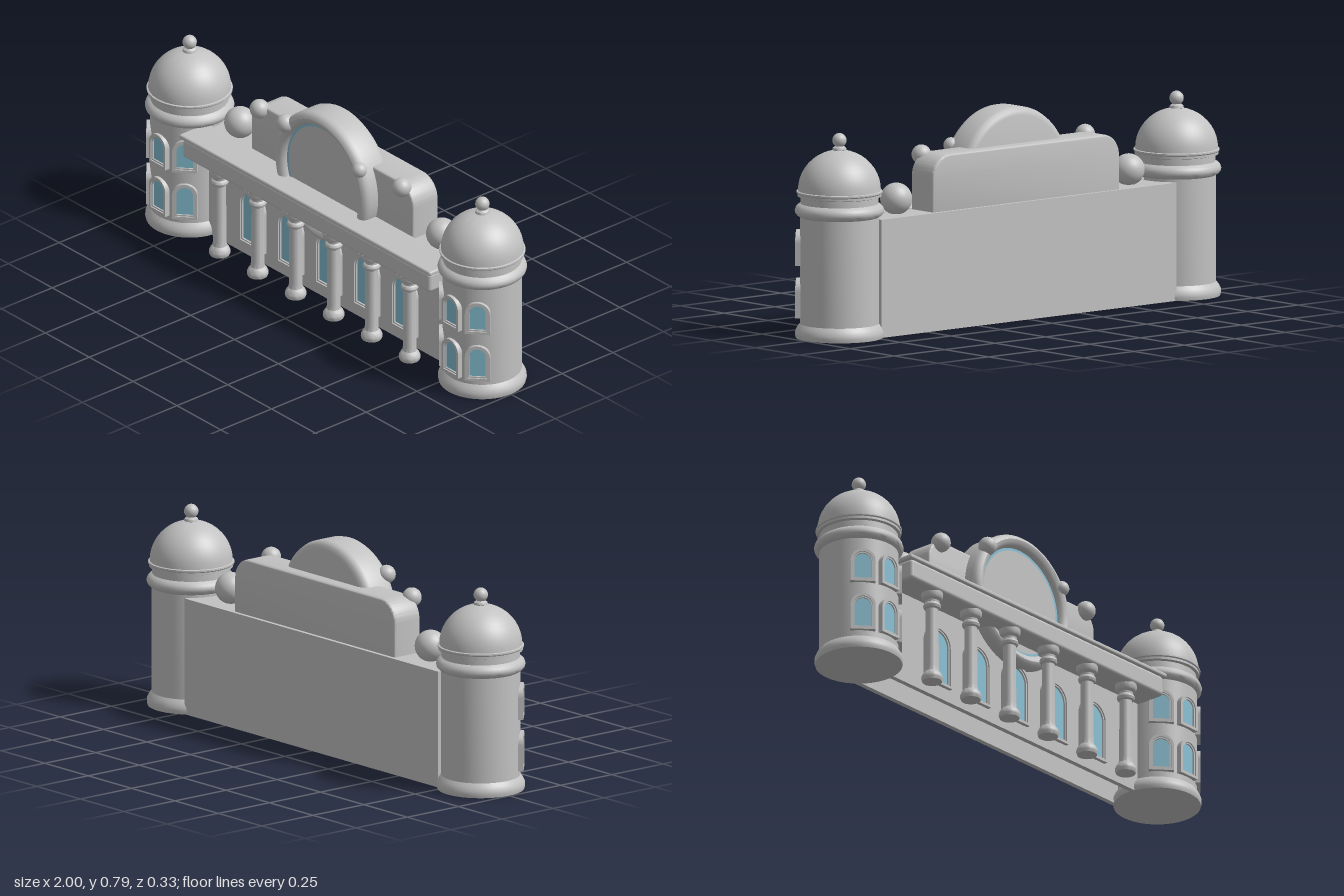
import * as THREE from 'three';
import { toCreasedNormals } from 'three/addons/utils/BufferGeometryUtils.js';
import { RoundedBoxGeometry } from 'three/addons/geometries/RoundedBoxGeometry.js';

export function createModel() {
  const model = new THREE.Group();
  model.name = 'palaceFacade';

  const stone = new THREE.MeshStandardMaterial({ color: 0xc2c2c2 });
  stone.name = 'stone';
  const glass = new THREE.MeshStandardMaterial({ color: 0x86bfd3, side: THREE.DoubleSide });
  glass.name = 'blueGlass';

  function add(parent, name, geometry, material, x = 0, y = 0, z = 0) {
    const mesh = new THREE.Mesh(geometry, material);
    mesh.name = name;
    mesh.position.set(x, y, z);
    parent.add(mesh);
    return mesh;
  }

  // Turned solid from [radius, height] pairs, listed bottom to top
  function turned(pairs, segments) {
    const points = pairs.map(([r, y]) => new THREE.Vector2(r, y));
    return toCreasedNormals(new THREE.LatheGeometry(points, segments), 0.6);
  }

  // Round-headed outline standing on y = bottom
  function arch(target, half, bottom, top) {
    target.moveTo(-half, bottom);
    target.lineTo(half, bottom);
    target.lineTo(half, top - half);
    target.absarc(0, top - half, half, 0, Math.PI, false);
    target.lineTo(-half, bottom);
    return target;
  }

  // Arched window: stepped frame plus a pane; its wall plane is z = 0
  function windowUnit(width, height, border, depth, sink) {
    const group = new THREE.Group();
    group.name = 'window';
    const half = width / 2;
    const layers = [
      [0, border * 0.65, depth],
      [border * 0.6, border, depth * 0.6],
    ];
    for (const [outer, inner, front] of layers) {
      const shape = arch(new THREE.Shape(), half - outer, outer, height - outer);
      shape.holes.push(arch(new THREE.Path(), half - inner, inner, height - inner));
      const frame = new THREE.ExtrudeGeometry(shape, {
        depth: front + sink, bevelEnabled: false, curveSegments: 12,
      });
      add(group, 'windowFrame', frame, stone, 0, 0, -sink);
    }
    const pane = new THREE.ShapeGeometry(arch(new THREE.Shape(), half - border, border, height - border), 12);
    add(group, 'windowPane', pane, glass, 0, 0, 0.002);
    return group;
  }

  // Main wall: a shell open at the bottom
  add(model, 'backWall', new THREE.BoxGeometry(1.46, 0.445, 0.02), stone, 0, 0.2225, -0.11);
  add(model, 'frontWall', new THREE.BoxGeometry(1.46, 0.445, 0.02), stone, 0, 0.2225, 0.02);
  add(model, 'wallTop', new THREE.BoxGeometry(1.46, 0.02, 0.15), stone, 0, 0.435, -0.045);

  // Wall windows
  for (let i = -2; i <= 2; i++) {
    const unit = windowUnit(0.145, 0.235, 0.015, 0.015, 0.005);
    unit.position.set(i * 0.2165, 0.05, 0.03);
    model.add(unit);
  }

  // Entablature and cornice over the colonnade
  add(model, 'entablature', new RoundedBoxGeometry(1.41, 0.08, 0.13, 3, 0.014), stone, 0, 0.4, 0.085);
  add(model, 'cornice', new RoundedBoxGeometry(1.43, 0.018, 0.14, 2, 0.007), stone, 0, 0.446, 0.087);

  // Columns
  const columnGeometry = turned([
    [0, 0], [0.037, 0], [0.041, 0.01], [0.04, 0.02], [0.034, 0.032], [0.027, 0.04],
    [0.025, 0.06], [0.024, 0.295], [0.031, 0.3], [0.034, 0.309], [0.031, 0.318],
    [0.026, 0.322], [0.027, 0.33], [0.037, 0.337], [0.041, 0.347], [0.041, 0.363], [0, 0.363],
  ], 24);
  for (let i = 0; i < 6; i++) {
    add(model, 'column', columnGeometry, stone, (i - 2.5) * 0.2165, 0, 0.105);
  }

  // Domed corner towers
  const towerProfile = [
    [0, 0], [0.163, 0], [0.166, 0.012], [0.165, 0.025], [0.158, 0.04], [0.148, 0.053],
    [0.148, 0.455], [0.158, 0.461], [0.165, 0.47], [0.167, 0.48], [0.163, 0.492], [0.154, 0.501],
    [0.146, 0.506], [0.146, 0.53], [0.157, 0.533], [0.157, 0.542], [0.161, 0.546], [0.161, 0.552], [0.155, 0.554],
  ];
  for (let i = 1; i <= 10; i++) {
    const a = (i / 10) * 1.42;
    towerProfile.push([0.155 * Math.cos(a), 0.554 + 0.152 * Math.sin(a)]);
  }
  towerProfile.push([0.027, 0.706], [0.025, 0.714], [0.014, 0.722], [0, 0.722]);
  const towerGeometry = turned(towerProfile, 48);
  const finialGeometry = new THREE.SphereGeometry(0.027, 20, 14);

  for (const side of [-1, 1]) {
    const tower = new THREE.Group();
    tower.name = side > 0 ? 'leftTower' : 'rightTower';
    tower.position.x = side * 0.834;
    model.add(tower);
    add(tower, 'towerBody', towerGeometry, stone);
    add(tower, 'finial', finialGeometry, stone, 0, 0.742, 0);
    // Two storeys of three windows fanned around the front
    for (const [bottom, height] of [[0.075, 0.147], [0.273, 0.132]]) {
      for (const turn of [-0.74, 0, 0.74]) {
        const unit = windowUnit(0.094, height, 0.016, 0.013, 0.015);
        unit.position.set(Math.sin(turn) * 0.148, bottom, Math.cos(turn) * 0.148);
        unit.rotation.y = turn;
        tower.add(unit);
      }
    }
    // Balls on the parapet and on the gable shoulders
    add(model, 'parapetBall', new THREE.SphereGeometry(0.06, 28, 18), stone, side * 0.575, 0.5, -0.025);
    add(model, 'gableBall', new THREE.SphereGeometry(0.037, 24, 16), stone, side * 0.405, 0.645, 0.027);
  }

  // Rounded gable panel behind the roundel
  const gable = new THREE.Shape();
  gable.moveTo(-0.455, 0.43);
  gable.lineTo(0.455, 0.43);
  gable.lineTo(0.455, 0.575);
  gable.absarc(0.38, 0.575, 0.075, 0, Math.PI / 2, false);
  gable.lineTo(-0.38, 0.65);
  gable.absarc(-0.38, 0.575, 0.075, Math.PI / 2, Math.PI, false);
  gable.lineTo(-0.455, 0.43);
  const gableGeometry = new THREE.ExtrudeGeometry(gable, {
    depth: 0.105, bevelThickness: 0.01, bevelSize: 0.007, bevelSegments: 3, curveSegments: 10,
  });
  add(model, 'gablePanel', toCreasedNormals(gableGeometry, 0.6), stone, 0, 0, -0.095);

  // Large roundel with raised rim
  const roundel = turned([
    [0, -0.055], [0.232, -0.055], [0.247, -0.051], [0.258, -0.042], [0.263, -0.028],
    [0.263, 0.055], [0.26, 0.069], [0.252, 0.08], [0.24, 0.085], [0.228, 0.082],
    [0.218, 0.074], [0.212, 0.062], [0.212, 0.055], [0, 0.055],
  ], 64).rotateX(Math.PI / 2);
  add(model, 'roundel', roundel, stone, 0, 0.53, 0);
  add(model, 'roundelBlueRing', new THREE.RingGeometry(0.202, 0.212, 64), glass, 0, 0.53, 0.058);

  // Balls resting on the roundel rim
  add(model, 'rimBallRight', new THREE.SphereGeometry(0.035, 24, 16), stone, -0.2, 0.686, 0.077);
  add(model, 'rimBallLeft', new THREE.SphereGeometry(0.029, 24, 16), stone, 0.218, 0.657, 0.073);

  return model;
}
